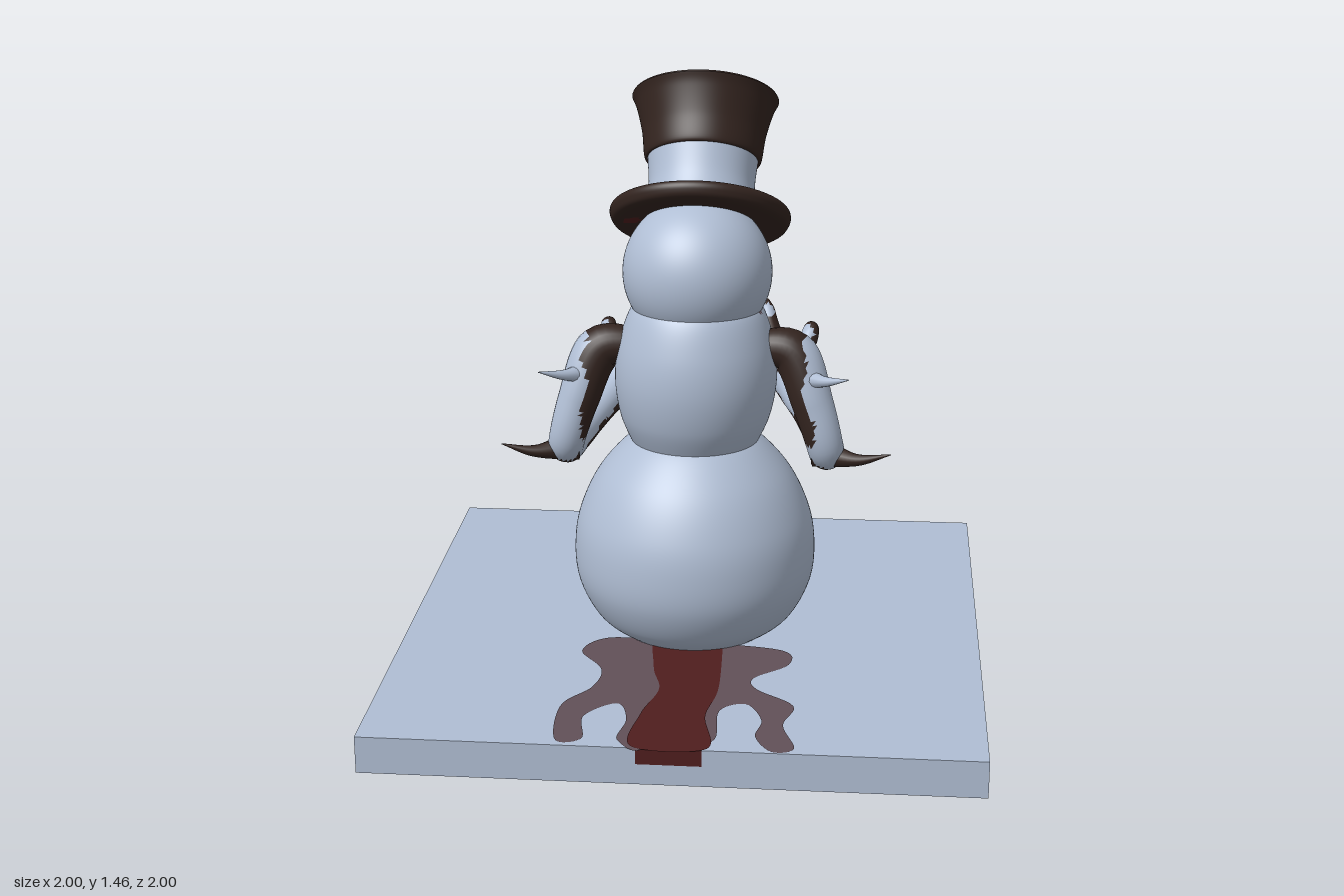
import * as THREE from 'three';

const palette = { snow: 0xb0bed4, darkBark: 0x33241f, blood: 0x4f1e1e, thinBlood: 0x625058, carrot: 0xc9783a, coal: 0x1f1a1c };
const V = (x, y, z) => new THREE.Vector3(x, y, z);

export function createModel() {
  const names = Object.keys(palette);
  const mats = names.map((name) => {
    const m = new THREE.MeshStandardMaterial({ color: palette[name] });
    m.name = name;
    return m;
  });
  const mat = (n) => mats[names.indexOf(n)];
  const model = new THREE.Group();
  model.name = 'snowman';

  const add = (name, geo, material, parent = model) => {
    const mesh = new THREE.Mesh(geo, typeof material === 'string' ? mat(material) : material);
    mesh.name = name;
    parent.add(mesh);
    return mesh;
  };

  // Sorts the faces into colour groups by a rule on the face centre
  const paint = (name, geo, rule, parent = model) => {
    const idx = geo.index.array, p = geo.attributes.position;
    const buckets = names.map(() => []);
    for (let i = 0; i < idx.length; i += 3) {
      const t = [idx[i], idx[i + 1], idx[i + 2]];
      const mid = (f) => (p[f](t[0]) + p[f](t[1]) + p[f](t[2])) / 3;
      buckets[names.indexOf(rule(mid('getX'), mid('getY'), mid('getZ')))].push(...t);
    }
    geo.setIndex(buckets.flat());
    geo.clearGroups();
    let start = 0;
    buckets.forEach((b, k) => {
      if (b.length) geo.addGroup(start, b.length, k);
      start += b.length;
    });
    return add(name, geo, mats, parent);
  };
  const wobble = (a, b) => Math.sin(a * 31 + b * 17) * 0.6 + Math.sin(b * 47 - a * 23 + 1) * 0.4;

  // Smooth lathe through a few [radius, height] points
  const turned = (pts, rings = 48, around = 96) => {
    const curve = new THREE.SplineCurve(pts.map(([r, y]) => new THREE.Vector2(r, y)));
    return new THREE.LatheGeometry(curve.getPoints(rings).map((q) => new THREE.Vector2(Math.max(q.x, 0), q.y)), around);
  };

  // Tube whose radius follows a list of values
  const taper = (pts, radii, n = 20, sides = 12) => {
    const curve = new THREE.CatmullRomCurve3(pts);
    const geo = new THREE.TubeGeometry(curve, n, 1, sides);
    const p = geo.attributes.position, v = V(0, 0, 0);
    for (let i = 0; i < p.count; i++) {
      const t = Math.floor(i / (sides + 1)) / n;
      const c = curve.getPointAt(t);
      const f = t * (radii.length - 1), k = Math.min(Math.floor(f), radii.length - 2);
      const r = THREE.MathUtils.lerp(radii[k], radii[k + 1], f - k);
      v.fromBufferAttribute(p, i).sub(c).multiplyScalar(r).add(c);
      p.setXYZ(i, v.x, v.y, v.z);
    }
    return geo;
  };

  // Snowy ground slab
  add('groundSlab', new THREE.BoxGeometry(1.428, 0.09, 1.428), 'snow').position.y = 0.045;

  // Flat stains on the slab, outlined as [x, distance behind]
  const stain = (name, pts, color, y) => {
    const outline = new THREE.SplineCurve(pts.concat([pts[0]]).map(([a, b]) => new THREE.Vector2(a, b)));
    const geo = new THREE.ShapeGeometry(new THREE.Shape(outline.getPoints(90)));
    geo.rotateX(-Math.PI / 2);
    add(name, geo, color).position.y = y;
  };
  stain('bloodTrail', [[-0.08, 0.1], [0.08, 0.1], [0.075, 0.3], [0.05, 0.42], [0.08, 0.55], [0.085, 0.712], [-0.085, 0.712], [-0.07, 0.55], [-0.09, 0.4]], 'blood', 0.0935);
  stain('leftSmear', [[0.04, 0.15], [0.2, 0.14], [0.26, 0.22], [0.2, 0.32], [0.21, 0.42], [0.27, 0.52], [0.26, 0.69],
    [0.2, 0.68], [0.21, 0.57], [0.14, 0.5], [0.11, 0.58], [0.12, 0.68], [0.05, 0.69]], 'thinBlood', 0.092);
  stain('rightSmear', [[-0.04, 0.15], [-0.04, 0.67], [-0.1, 0.66], [-0.1, 0.52], [-0.16, 0.48], [-0.2, 0.56], [-0.19, 0.64],
    [-0.23, 0.71], [-0.28, 0.69], [-0.25, 0.58], [-0.27, 0.48], [-0.18, 0.4], [-0.17, 0.34], [-0.25, 0.26], [-0.23, 0.18]], 'thinBlood', 0.092);
  stain('puddleEdge', [[-0.18, -0.08], [0.18, -0.08], [0.21, -0.2], [0.12, -0.28], [0, -0.31], [-0.12, -0.28], [-0.21, -0.2]], 'thinBlood', 0.092);
  stain('frontPuddle', [[-0.14, -0.08], [0.14, -0.08], [0.17, -0.2], [0.08, -0.27], [-0.08, -0.27], [-0.17, -0.2]], 'blood', 0.0935);
  add('edgeDrip', new THREE.BoxGeometry(0.15, 0.04, 0.004), 'blood').position.set(0, 0.071, -0.714);

  // Stacked snow body with a stain running down the front
  const belly = turned([[0.19, 0.085], [0.25, 0.135], [0.292, 0.22], [0.3, 0.31], [0.284, 0.4], [0.235, 0.5], [0.155, 0.585], [0.1, 0.6]], 64, 128);
  paint('belly', belly, (x, y, z) => {
    const a = Math.abs(x) + 0.025 * wobble(x > 0 ? 0.1 : 0.3, y);
    if (z < 0) return 'snow';
    if (a < 0.105 - 0.1 * Math.max(0, y - 0.3)) return 'blood';
    return a < 0.15 + 0.05 * Math.sin(y * 38) - 0.15 * Math.max(0, y - 0.35) ? 'thinBlood' : 'snow';
  });
  const chest = turned([[0.15, 0.565], [0.185, 0.64], [0.2, 0.73], [0.19, 0.82], [0.155, 0.905], [0.1, 0.92]], 48, 112);
  const cp = chest.attributes.position;
  for (let i = 0; i < cp.count; i++) cp.setZ(i, cp.getZ(i) + (cp.getY(i) - 0.57) * 0.2);
  paint('chest', chest, (x, y, z) => {
    const a = Math.abs(x) + 0.018 * wobble(x > 0 ? 0.2 : 0.5, y);
    if (z < 0.02) return 'snow';
    const w = 0.045 + 0.35 * Math.max(0, y - 0.72);
    return a < w ? 'blood' : a < w + 0.035 + 0.02 * Math.sin(y * 50) ? 'thinBlood' : 'snow';
  });

  // Head, stained around the mouth
  const head = paint('head', new THREE.SphereGeometry(0.184, 96, 64), (x, y, z) => {
    const a = Math.abs(x);
    const edge = -0.075 - a * 0.3 + 0.012 * wobble(x, 0.2);
    if (z > 0.02 && y < edge && a < 0.115) return 'blood';
    return z > 0.05 && y < edge + 0.014 && a < 0.12 ? 'thinBlood' : 'snow';
  });
  head.position.set(0, 0.985, 0.072);
  for (const s of [1, -1]) {
    const side = s > 0 ? 'left' : 'right';
    const eye = add(side + 'Eye', new THREE.SphereGeometry(0.025, 20, 14), 'coal');
    eye.position.set(s * 0.074, 0.95, 0.232);
    eye.scale.z = 0.8;
    add(side + 'Brow', taper([V(s * 0.025, 0.972, 0.245), V(s * 0.07, 0.99, 0.238), V(s * 0.12, 0.98, 0.207)], [0.006, 0.016, 0.006]), 'snow');
  }
  add('carrotNose', taper([V(0, 0.905, 0.21), V(0, 0.855, 0.3), V(0, 0.79, 0.4)], [0.034, 0.026, 0.015, 0.002], 18, 14), 'carrot');

  // Top hat, tipped forward
  const hat = new THREE.Group();
  hat.name = 'topHat';
  hat.position.set(0, 1.1, 0.152);
  hat.rotation.x = 0.57;
  model.add(hat);
  paint('hatBrim', turned([[0, -0.018], [0.12, -0.018], [0.2, -0.022], [0.222, -0.005], [0.22, 0.016], [0.19, 0.022], [0.12, 0.02]], 40), (x, y, z) => {
    const a = Math.abs(x) + 0.02 * wobble(x, z);
    if (z > 0.14 && a < 0.06) return 'blood';
    if (z > 0.16 && a < 0.115) return 'snow';
    return Math.hypot(x - 0.165, z + 0.03) < 0.022 ? 'blood' : 'darkBark';
  }, hat);
  paint('hatBand', turned([[0.138, 0.01], [0.132, 0.08], [0.138, 0.155]], 20), (x, y, z) => {
    const a = Math.abs(x) + 0.02 * wobble(x, y);
    return z > 0 && (a < 0.06 || (a > 0.095 && a < 0.122)) ? 'blood' : 'snow';
  }, hat);
  paint('hatCrown', turned([[0.134, 0.15], [0.146, 0.155], [0.155, 0.22], [0.172, 0.285], [0.184, 0.312]], 36), (x, y, z) => {
    const a = Math.abs(x) + 0.014 * wobble(x, y);
    if (z > 0 && y > 0.265 + 0.02 * wobble(x, 0.4) && a < 0.125) return 'snow';
    return z > 0 && a < 0.06 ? 'blood' : 'darkBark';
  }, hat);
  paint('hatTop', turned([[0.184, 0.312], [0.17, 0.32], [0.09, 0.325], [0, 0.326]], 30), (x, y, z) =>
    z > 0.05 + 0.03 * wobble(x, 0.1) && Math.abs(x) < 0.115 + 0.02 * wobble(0, z) ? 'snow' : 'darkBark', hat);

  // Clawed arms of bark and frost, mirrored
  const armRule = (x, y, z) => {
    const a = Math.abs(x), w = wobble(x * 1.5, y + z);
    if (z > 0.52) return 'thinBlood';
    if (z > 0.36 && y > 0.59) return w > 0.5 ? 'snow' : 'darkBark';
    if (z < 0.07 && y > 0.57) return a < 0.265 + 0.015 * w + (0.8 - y) * 0.12 ? 'darkBark' : 'snow';
    return y < 0.527 + (z - 0.1) * 0.17 + 0.012 * w ? 'darkBark' : 'snow';
  };
  const limbs = {
    Arm: [[[0.14, 0.8, 0.05], [0.235, 0.795, 0.035], [0.29, 0.67, 0.01], [0.325, 0.545, 0.02], [0.315, 0.53, 0.12], [0.28, 0.55, 0.26],
      [0.24, 0.585, 0.36], [0.205, 0.64, 0.41], [0.19, 0.715, 0.44]], [0.04, 0.058, 0.052, 0.046, 0.042, 0.04, 0.042, 0.052, 0.02], 80, 24],
    InnerFinger: [[[0.19, 0.66, 0.42], [0.162, 0.73, 0.45], [0.15, 0.775, 0.49], [0.138, 0.79, 0.555]], [0.034, 0.028, 0.02, 0.002]],
    OuterFinger: [[[0.215, 0.65, 0.42], [0.26, 0.7, 0.435], [0.27, 0.725, 0.46], [0.265, 0.72, 0.53]], [0.036, 0.028, 0.02, 0.002]],
    Thumb: [[[0.21, 0.61, 0.4], [0.16, 0.59, 0.47], [0.125, 0.6, 0.56]], [0.032, 0.02, 0.002]],
    ElbowSpike: [[[0.3, 0.54, 0.03], [0.4, 0.53, 0], [0.485, 0.548, -0.005]], [0.04, 0.017, 0.001]],
    ShoulderSpike: [[[0.25, 0.74, 0.02], [0.315, 0.743, -0.035], [0.378, 0.76, -0.072]], [0.034, 0.015, 0.001]],
  };
  for (const s of [1, -1]) {
    for (const [name, [pts, radii, n, sides]] of Object.entries(limbs)) {
      const geo = taper(pts.map(([x, y, z]) => V(s * x, y, z)), radii, n, sides);
      paint((s > 0 ? 'left' : 'right') + name, geo, name === 'ElbowSpike' ? () => 'darkBark' : armRule);
    }
  }

  // Whole figure is turned toward the back right
  model.rotation.y = 2.495;
  const group = new THREE.Group();
  group.add(model);
  return group;
}
